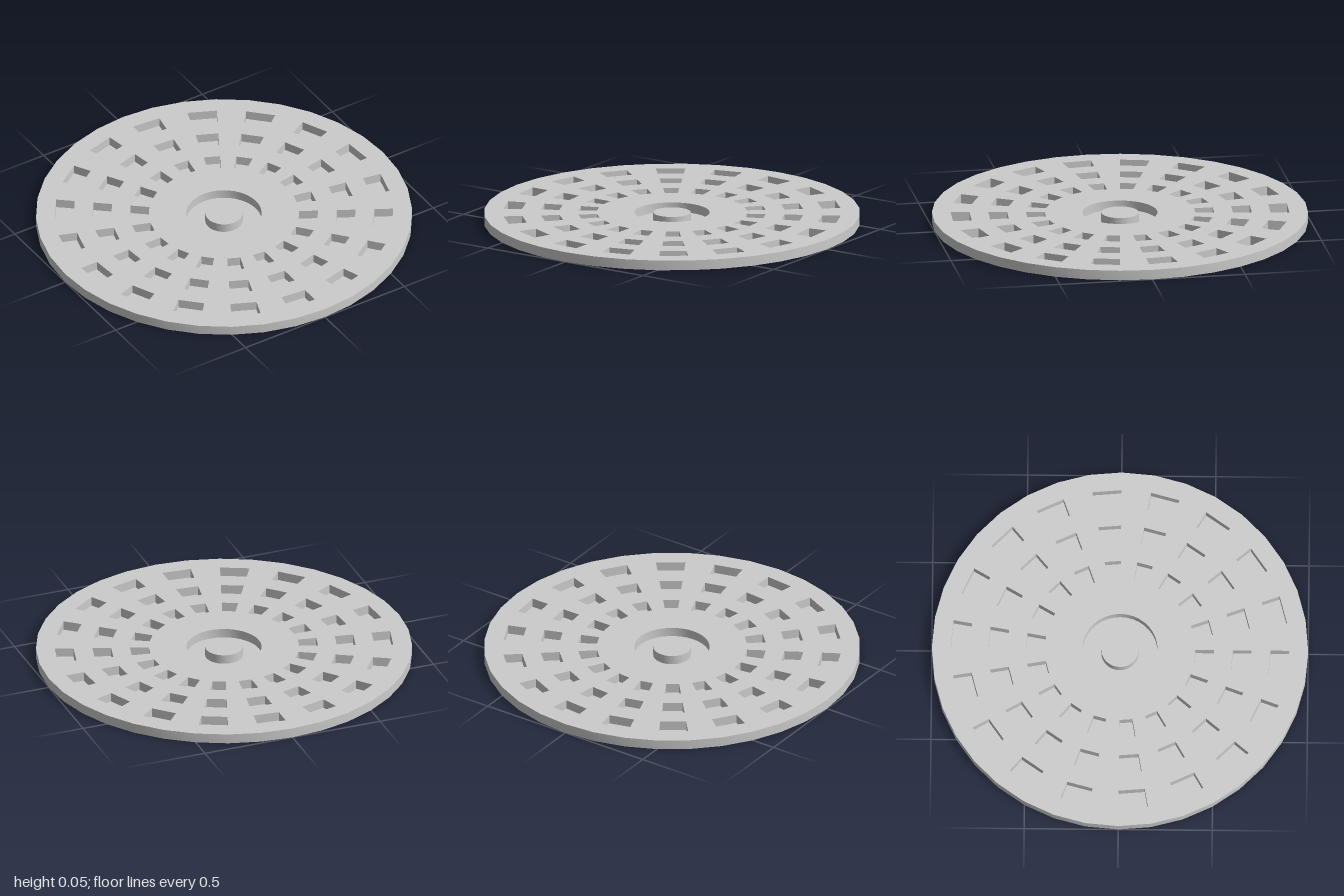
import * as THREE from 'three';
import { toCreasedNormals } from 'three/addons/utils/BufferGeometryUtils.js';

const SIDES = 36;
const FLOOR = 0.003; // thickness of the closed bottom
const DEPTH = 0.05;  // depth of the pockets

// point on a circle, angle in degrees clockwise from the back (-z)
function polar(radius, degrees) {
  const a = THREE.MathUtils.degToRad(degrees);
  return new THREE.Vector2(radius * Math.sin(a), radius * Math.cos(a));
}

function ring(radius) {
  return Array.from({ length: SIDES }, (_, i) => polar(radius, i * 360 / SIDES));
}

export function createModel() {
  const group = new THREE.Group();
  group.name = 'slottedDisc';
  const material = new THREE.MeshStandardMaterial({ color: 0xcccccc });

  function add(name, geometry, y) {
    const mesh = new THREE.Mesh(geometry, material);
    mesh.name = name;
    mesh.position.y = y;
    group.add(mesh);
  }

  // perforated plate: round centre well and three rings of 18 slots
  // (outline counter-clockwise, holes clockwise, so the walls face into the holes)
  const shape = new THREE.Shape(ring(1).reverse());
  shape.holes.push(new THREE.Path(ring(0.2)));
  for (const inner of [0.4, 0.6, 0.8]) {
    const outer = inner + 0.1;
    for (let a = 0; a < 360; a += 20) {
      shape.holes.push(new THREE.Path([
        polar(inner, a), polar(outer, a), polar(outer, a + 10), polar(inner, a + 10),
      ]));
    }
  }
  const plate = new THREE.ExtrudeGeometry(shape, { depth: DEPTH, bevelEnabled: false });
  plate.rotateX(-Math.PI / 2);
  add('slottedPlate', toCreasedNormals(plate, 0.3), FLOOR);

  // closed bottom under every pocket
  add('base', new THREE.CylinderGeometry(1, 1, FLOOR, SIDES), FLOOR / 2);

  // hub standing in the centre well
  add('hub', new THREE.CylinderGeometry(0.1, 0.1, DEPTH, SIDES), FLOOR + DEPTH / 2);

  return group;
}
